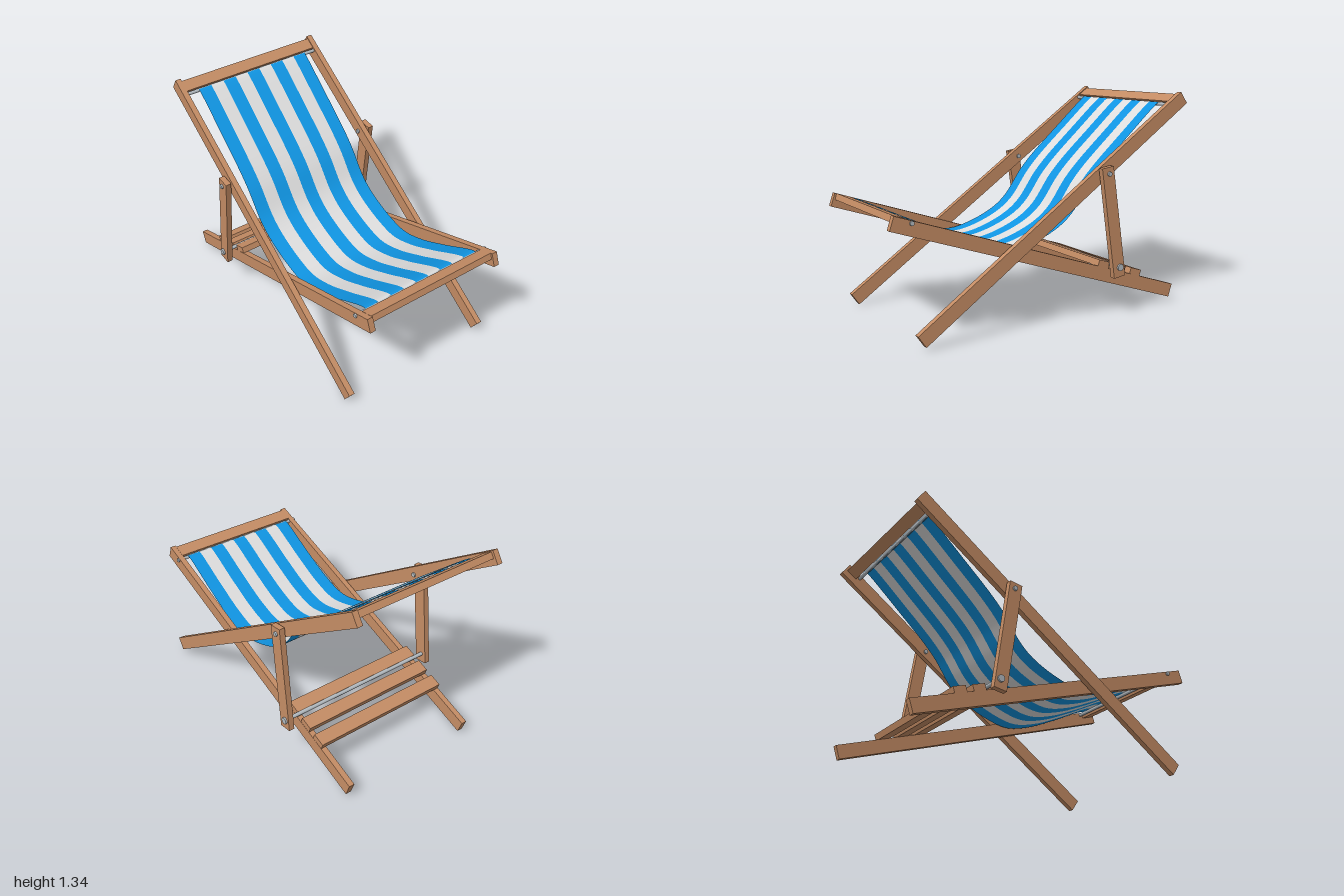
import * as THREE from 'three';

const paint = (name, color, side = THREE.FrontSide) => {
  const m = new THREE.MeshStandardMaterial({ color, side });
  m.name = name;
  return m;
};

export function createModel() {
  const wood = paint('wood', 0xc48c64);
  const metal = paint('metal', 0xb4bcc2);
  const blue = paint('blue canvas', 0x1095e3, THREE.DoubleSide);
  const white = paint('white canvas', 0xdedede, THREE.DoubleSide);

  const model = new THREE.Group();
  model.name = 'deckChair';
  // The whole chair leans very slightly to one side
  const chair = new THREE.Group();
  chair.name = 'chairFrame';
  chair.rotation.z = 0.02;
  chair.position.x = 0.01;
  model.add(chair);

  const add = (name, geometry, material, x, y, z) => {
    const mesh = new THREE.Mesh(geometry, material);
    mesh.name = name;
    mesh.position.set(x, y, z);
    chair.add(mesh);
    return mesh;
  };

  // Rail between two [z, y] points, repeated on both sides
  const railPair = (name, [z0, y0], [z1, y1], x, depth, thickness) => {
    const length = Math.hypot(z1 - z0, y1 - y0);
    const angle = Math.atan2(y0 - y1, z1 - z0);
    for (const s of [1, -1]) {
      const rail = add((s > 0 ? 'left' : 'right') + name,
        new THREE.BoxGeometry(thickness, depth, length), wood, s * x, (y0 + y1) / 2, (z0 + z1) / 2);
      rail.rotation.x = angle;
    }
    return angle;
  };

  const backAngle = railPair('BackrestRail', [-0.974, 1.298], [0.848, 0.045], 0.495, 0.085, 0.036);
  const seatAngle = railPair('SeatRail', [-0.933, 0.06], [0.986, 0.709], 0.448, 0.085, 0.036);
  railPair('Strut', [-0.455, 0.237], [-0.36, 0.914], 0.541, 0.083, 0.036);

  // Crossbars and rear slats
  const board = (name, width, height, depth, y, z, angle) => {
    add(name, new THREE.BoxGeometry(width, height, depth), wood, 0, y, z).rotation.x = angle;
  };
  board('topCrossbar', 0.96, 0.04, 0.075, 1.282, -0.921, backAngle);
  board('frontCrossbar', 0.864, 0.04, 0.085, 0.714, 0.926, seatAngle);
  [-0.405, -0.528, -0.648].forEach((z, i) => {
    const railTop = 0.06 + 0.338 * (z + 0.933) + 0.045;
    board('rearSlat' + (i + 1), 0.93, 0.04, 0.082, railTop + 0.02, z, seatAngle);
  });

  // Metal rods, pivot bolts and their heads
  const rod = (name, radius, x0, x1, y, z) => {
    const g = new THREE.CylinderGeometry(radius, radius, x1 - x0, 16).rotateZ(Math.PI / 2);
    add(name, g, metal, (x0 + x1) / 2, y, z);
  };
  rod('topCanvasRod', 0.011, -0.485, 0.485, 1.258, -0.874);
  rod('frontCanvasRod', 0.011, -0.468, 0.468, 0.7, 0.87);
  rod('rearRod', 0.012, -0.56, 0.56, 0.297, -0.455);
  for (const s of [1, -1]) {
    const side = s > 0 ? 'left' : 'right';
    const bolt = (name, radius, a, b, y, z) =>
      rod(side + name, radius, Math.min(s * a, s * b), Math.max(s * a, s * b), y, z);
    bolt('RearRodHead', 0.021, 0.558, 0.57, 0.297, -0.455);
    bolt('StrutBolt', 0.01, 0.472, 0.562, 0.875, -0.37);
    bolt('StrutBoltHead', 0.014, 0.558, 0.57, 0.875, -0.37);
    bolt('StrutBoltNut', 0.014, 0.467, 0.478, 0.875, -0.37);
    bolt('FrontRodHead', 0.013, 0.465, 0.475, 0.7, 0.87);
  }

  // Sagging canvas: a side curve swept across each stripe, wrapped round both rods
  const sag = new THREE.CatmullRomCurve3([
    [0.876, 0.69], [0.883, 0.703], [0.87, 0.713], [0.6, 0.585], [0.4, 0.495], [0.23, 0.452], [0.1, 0.47],
    [-0.1, 0.548], [-0.21, 0.63], [-0.335, 0.795], [-0.42, 0.885], [-0.62, 1.062],
    [-0.865, 1.268], [-0.878, 1.272], [-0.887, 1.258], [-0.874, 1.246],
  ].map(([z, y]) => new THREE.Vector3(0, y, z)));
  const profile = sag.getSpacedPoints(90);
  const stripes = 9, half = 0.4, stripeWidth = 2 * half / stripes;
  for (let i = 0; i < stripes; i++) {
    const g = new THREE.PlaneGeometry(stripeWidth, 1, 1, profile.length - 1);
    const p = g.attributes.position;
    // Row 0 lies at the top rod so the front of the cloth faces the sitter
    for (let v = 0; v < p.count; v++) {
      const pt = profile[profile.length - 1 - Math.floor(v / 2)];
      p.setXYZ(v, p.getX(v), pt.y, pt.z);
    }
    g.computeVertexNormals();
    add('canvasStripe' + (i + 1), g, i % 2 ? white : blue, -half + stripeWidth * (i + 0.5), 0, 0);
  }
  return model;
}
